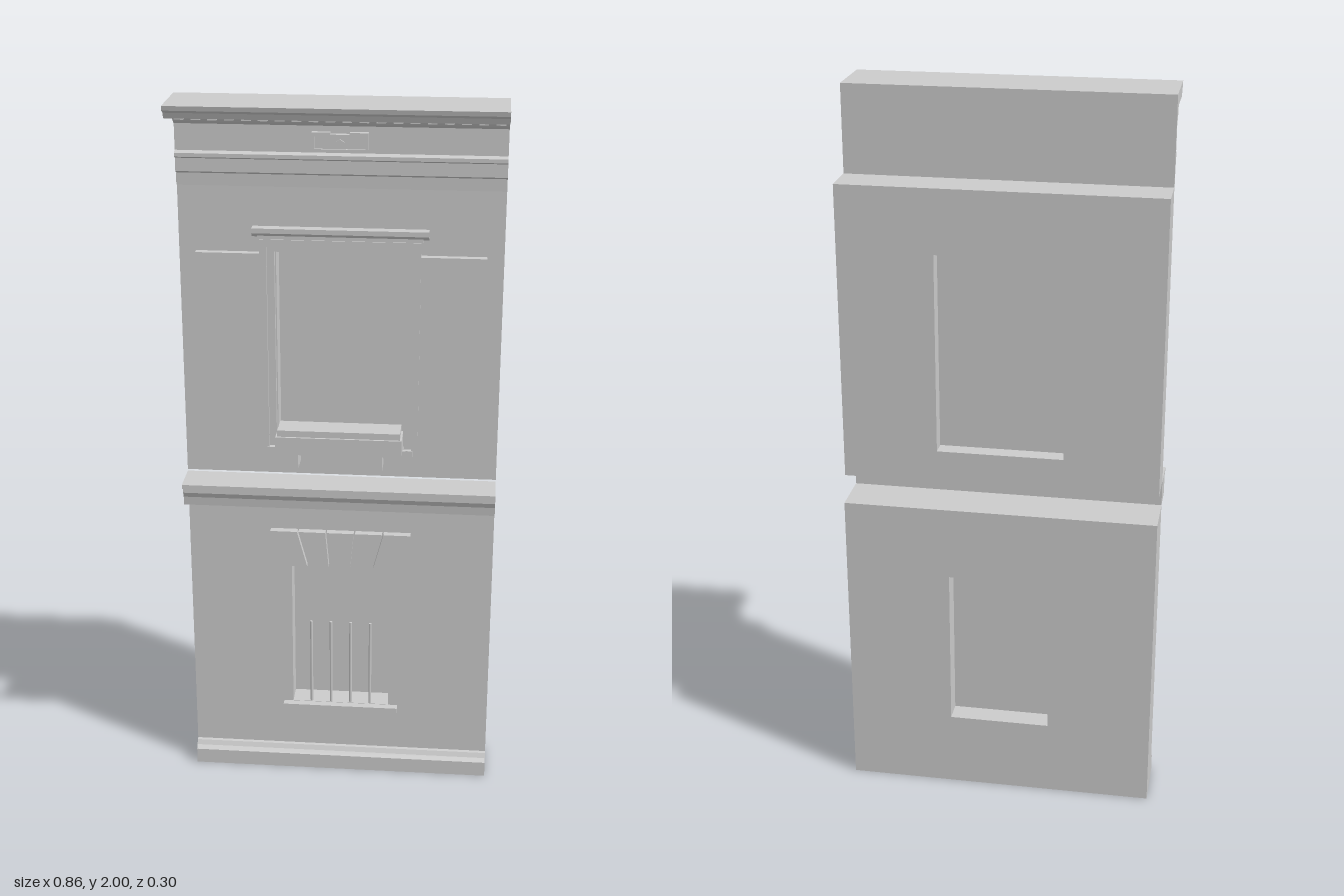
import * as THREE from 'three';

const material = new THREE.MeshStandardMaterial({ color: 0xcccccc });
const WIDTH = 0.86;

export function createModel() {
  const model = new THREE.Group();
  model.name = 'facadeSection';

  const add = (name, geometry) => {
    const mesh = new THREE.Mesh(geometry, material);
    mesh.name = name;
    model.add(mesh);
    return mesh;
  };

  // Box given by its limits on each axis
  const box = (name, x0, x1, y0, y1, z0, z1) => {
    const g = new THREE.BoxGeometry(x1 - x0, y1 - y0, z1 - z0);
    return add(name, g.translate((x0 + x1) / 2, (y0 + y1) / 2, (z0 + z1) / 2));
  };

  const polygon = (points) => new THREE.Shape(points.map(([a, b]) => new THREE.Vector2(a, b)));

  // Horizontal moulding: a (z, y) section swept along x
  const moulding = (name, section, width = WIDTH) => {
    const g = new THREE.ExtrudeGeometry(polygon(section), { depth: width, bevelEnabled: false });
    return add(name, g.translate(0, 0, -width / 2).rotateY(-Math.PI / 2));
  };

  // Upright plate in x and y, with an optional rectangular opening
  const rect = (x0, x1, y0, y1) => [[x0, y0], [x1, y0], [x1, y1], [x0, y1]];
  const plate = (name, outline, hole, z0, z1) => {
    const shape = polygon(outline);
    if (hole) shape.holes.push(polygon(hole));
    const g = new THREE.ExtrudeGeometry(shape, { depth: z1 - z0, bevelEnabled: false });
    return add(name, g.translate(0, 0, z0));
  };

  // Walls with window openings and recessed panes
  const half = WIDTH / 2;
  plate('lowerWall', rect(-half, half, 0, 0.875), rect(-0.14, 0.14, 0.215, 0.67), -0.15, -0.02);
  plate('upperWall', rect(-half, half, 0.95, 1.765), rect(-0.172, 0.172, 1.04, 1.59), -0.13, -0.02);
  box('lowerPane', -0.14, 0.14, 0.215, 0.67, -0.09, -0.084);
  box('upperPane', -0.172, 0.172, 1.04, 1.59, -0.086, -0.08);

  // Plinth at the foot
  moulding('plinth', [[-0.02, 0], [0.005, 0], [0.005, 0.045], [-0.005, 0.055], [-0.012, 0.068], [-0.02, 0.07]]);

  // String course between the storeys
  moulding('stringCourse', [
    [-0.02, 0.875], [0.055, 0.875], [0.058, 0.9], [0.065, 0.915], [0.065, 0.93],
    [0.08, 0.933], [0.08, 0.945], [-0.02, 0.945],
  ]);

  // Frieze and cornice
  moulding('frieze', [
    [-0.022, 1.762], [-0.013, 1.762], [-0.012, 1.795], [-0.005, 1.8], [-0.005, 1.835],
    [0.006, 1.84], [0.006, 1.85], [-0.008, 1.855], [-0.008, 1.925], [-0.022, 1.925],
  ]);
  moulding('cornice', [
    [-0.022, 1.925], [-0.005, 1.925], [0.004, 1.932], [0.015, 1.943], [0.02, 1.945],
    [0.02, 1.965], [0.13, 1.965], [0.136, 1.98], [0.15, 1.988], [0.153, 2], [-0.022, 2],
  ]);
  for (let i = 0; i < 20; i++) {
    const x = (i - 9.5) * 0.043;
    box('dentil', x - 0.012, x + 0.012, 1.943, 1.966, 0.01, 0.04);
  }

  // Plaque: notched border around a sunk field with a small diamond
  plate('plaqueBorder', [
    [-0.073, 1.86], [0.073, 1.86], [0.073, 1.91], [0.025, 1.91], [0.025, 1.905],
    [-0.025, 1.905], [-0.025, 1.91], [-0.073, 1.91],
  ], rect(-0.066, 0.066, 1.867, 1.9), -0.01, 0.006);
  box('plaqueField', -0.066, 0.066, 1.867, 1.9, -0.01, 0);
  plate('plaqueDiamond', [[-0.012, 1.885], [0, 1.877], [0.012, 1.885], [0, 1.893]], null, 0, 0.005);

  // Upper window surround in steps, with a hood
  plate('windowFrameOuter', rect(-0.213, 0.213, 1.035, 1.625), rect(-0.195, 0.195, 1.034 + 0.004, 1.605), -0.02, 0.005);
  plate('windowFrameInner', rect(-0.2, 0.2, 1.036, 1.61), rect(-0.175, 0.175, 1.04, 1.59), -0.03, -0.005);
  box('windowHead', -0.218, 0.218, 1.61, 1.635, -0.02, 0.002);
  moulding('windowHood', [[-0.02, 1.632], [0, 1.632], [0.008, 1.642], [0.008, 1.655], [-0.02, 1.655]], 0.466);

  // Window sill, planter box and its brackets
  box('upperSill', -0.2, 0.2, 1.015, 1.037, -0.02, 0.008);
  box('planterBox', -0.172, 0.172, 1.038, 1.087, -0.02, 0.058);
  box('planterRim', -0.167, 0.167, 1.087, 1.105, -0.02, 0.052);
  for (const s of [-1, 1]) {
    box('planterBracket', s * 0.115 - 0.004, s * 0.115 + 0.004, 0.99, 1.038, -0.02, 0.045);
    // Open shutters against the wall
    box('shutter', s * 0.299 - 0.086, s * 0.299 + 0.086, 1.037, 1.585, -0.02, 0);
  }

  // Fanned lintel of five wedge stones
  for (let i = 0; i < 5; i++) {
    const a = (i - 2.5) / 2.5, b = (i - 1.5) / 2.5, gap = 0.002;
    plate('lintelStone', [
      [a * 0.153 + gap, 0.67], [b * 0.153 - gap, 0.67], [b * 0.2 - gap, 0.777], [a * 0.2 + gap, 0.777],
    ], null, -0.02, 0.001);
  }

  // Lower window sill and guard bars
  box('lowerSill', -0.167, 0.167, 0.195, 0.214, -0.035, 0.001);
  for (let i = 0; i < 4; i++) {
    const bar = new THREE.CylinderGeometry(0.004, 0.004, 0.27, 8);
    add('guardBar', bar.translate((i - 1.5) * 0.057, 0.345, -0.026));
  }

  return model;
}
